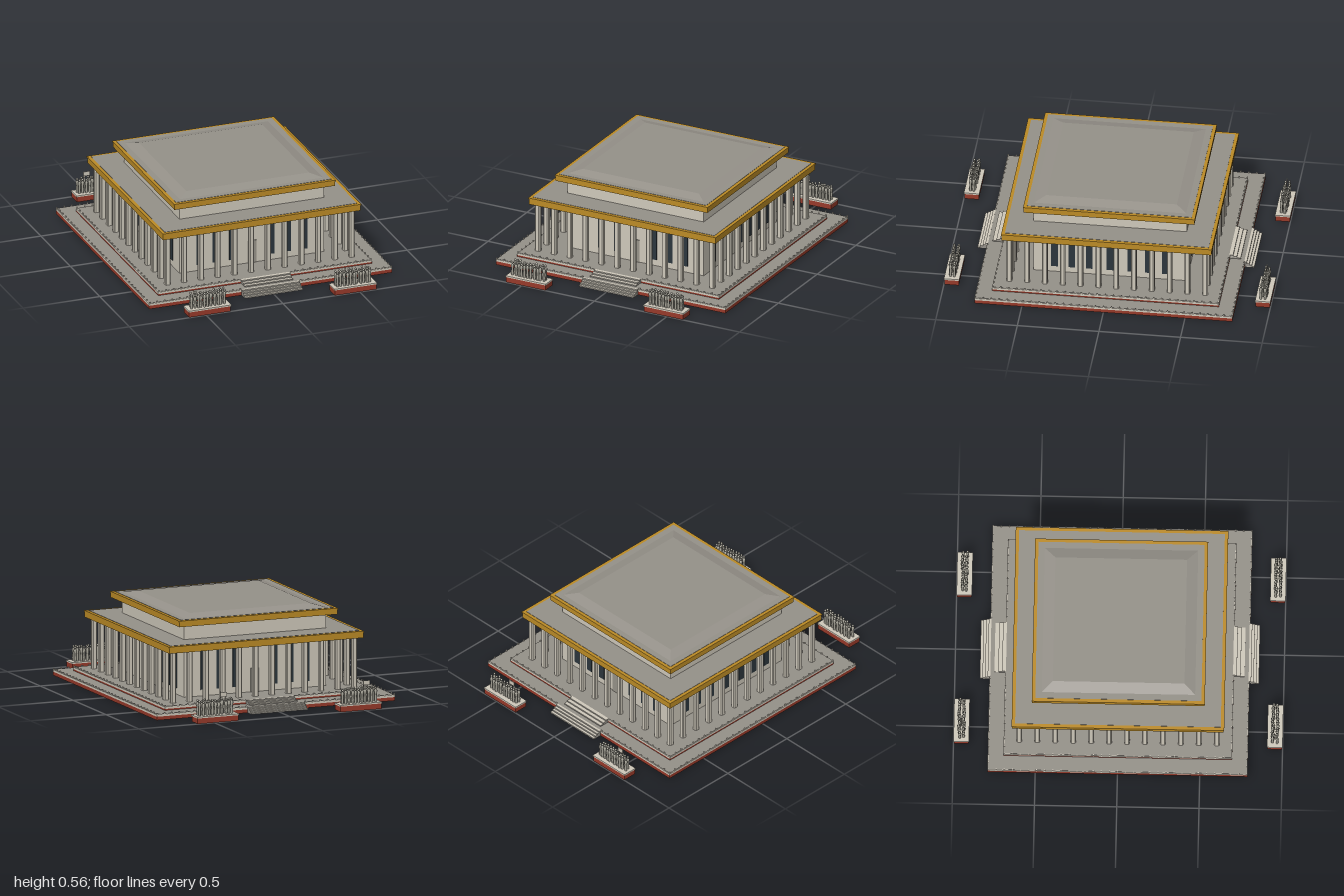
import * as THREE from 'three';
import { mergeGeometries } from 'three/addons/utils/BufferGeometryUtils.js';

const mat = (name, color, extra = {}) => Object.assign(new THREE.MeshStandardMaterial({ color, ...extra }), { name });

export function createModel() {
  const stone = mat('pale stone', 0xd0cabc);
  const paving = mat('grey paving', 0x96928a);
  const gold = mat('gold tile', 0xbd8c26);
  const red = mat('red granite', 0x983a2a);
  const glass = mat('dark glass', 0x2c363d);
  const doorGrey = mat('door grey', 0x98948a);
  const statue = mat('statue stone', 0xa5a296);

  const model = new THREE.Group();
  model.name = 'memorialHall';
  const add = (name, geo, material, parent = model) => {
    const m = new THREE.Mesh(geo, material);
    m.name = name;
    parent.add(m);
    return m;
  };
  // Box given by width, depth, bottom, top and centre
  const block = (w, d, y0, y1, x = 0, z = 0) =>
    new THREE.BoxGeometry(w, y1 - y0, d).translate(x, (y0 + y1) / 2, z);
  const rect = (P, w, d) => {
    const p = new P();
    p.moveTo(-w / 2, -d / 2).lineTo(w / 2, -d / 2).lineTo(w / 2, d / 2).lineTo(-w / 2, d / 2);
    p.closePath();
    return p;
  };
  // Rectangular ring with wall thickness t
  const frame = (w, d, t, y0, y1) => {
    const s = rect(THREE.Shape, w, d);
    s.holes.push(rect(THREE.Path, w - 2 * t, d - 2 * t));
    return new THREE.ExtrudeGeometry(s, { depth: y1 - y0, bevelEnabled: false })
      .rotateX(-Math.PI / 2).translate(0, y0, 0);
  };

  // Two terraces: red plinth, pale edge, grey paving and small railing posts
  const terrace = (name, half, y0, yRed, yTop, gap) => {
    const g = new THREE.Group();
    g.name = name;
    model.add(g);
    add('plinth', frame(half * 2, half * 2, 0.015, y0, yRed), red, g);
    add('core', block(half * 2 - 0.03, half * 2 - 0.03, y0 + 0.001, yTop), paving, g);
    add('edge', frame(half * 2, half * 2, 0.015, yRed, yTop - 0.001), stone, g);
    add('pavingTop', block(half * 2 - 0.008, half * 2 - 0.008, yTop - 0.002, yTop + 0.001), paving, g);
    const posts = [];
    const n = Math.round(half * 2 / 0.05);
    for (let i = 0; i < n; i++) {
      const t = -half + 0.004 + (i * (half * 2 - 0.008)) / n;
      for (let s = 0; s < 4; s++) {
        if (s % 2 === 0 && Math.abs(t) < gap) continue;
        posts.push(block(0.007, 0.007, yTop, yTop + 0.009, t, half - 0.004).rotateY(s * Math.PI / 2));
      }
    }
    add('railingPosts', mergeGeometries(posts), stone, g);
  };
  terrace('lowerTerrace', 0.79, 0, 0.022, 0.036, 0.19);
  terrace('upperTerrace', 0.695, 0.036, 0.046, 0.06, 0.16);

  // Steps at front and back, grey risers with pale treads
  const stairs = (parent, name, w, z0, z1, y0, y1, n) => {
    const risers = [], treads = [];
    for (let i = 0; i < n; i++) {
      const top = y0 + ((y1 - y0) * (i + 1)) / n;
      const outer = z1 - ((z1 - z0) * i) / n;
      risers.push(block(w, outer - z0, y0, top - 0.002, 0, (outer + z0) / 2));
      treads.push(block(w, outer - z0, top - 0.002, top, 0, (outer + z0) / 2));
    }
    add(name + 'Risers', mergeGeometries(risers), paving, parent);
    add(name + 'Treads', mergeGeometries(treads), stone, parent);
  };

  // Main hall walls
  add('hallWalls', block(0.94, 0.94, 0.06, 0.38), stone);

  // Windows, doors and stairs on each face
  for (let s = 0; s < 4; s++) {
    const face = new THREE.Group();
    face.name = ['frontFace', 'leftFace', 'backFace', 'rightFace'][s];
    face.rotation.y = s * Math.PI / 2;
    model.add(face);
    const xs = [-0.34, -0.235, -0.127, 0.127, 0.235, 0.34];
    if (s % 2) xs.push(0);
    for (const x of xs) add('window', block(0.041, 0.006, 0.1, 0.34, x, 0.471), glass, face);
    if (s % 2 === 0) {
      add('door', block(0.058, 0.008, 0.06, 0.207, 0, 0.471), doorGrey, face);
      stairs(face, 'lowerStairs', 0.376, 0.785, 0.848, 0, 0.038, 4);
      stairs(face, 'upperStairs', 0.315, 0.69, 0.76, 0.036, 0.062, 3);
    }
  }

  // Colonnade of chamfered square columns, twelve to a side
  const a = 0.0165, c = 0.0105;
  const section = new THREE.Shape([[a, -c], [a, c], [c, a], [-c, a], [-a, c], [-a, -c], [-c, -a], [c, -a]]
    .map(([x, y]) => new THREE.Vector2(x, y)));
  const shaft = new THREE.ExtrudeGeometry(section, { depth: 0.317, bevelEnabled: false })
    .rotateX(-Math.PI / 2).translate(0, 0.06, 0);
  for (let s = 0; s < 4; s++) {
    for (let i = 0; i < 11; i++) {
      const col = add('column', shaft, stone);
      const p = new THREE.Vector3(-0.6 + (i * 1.2) / 11, 0, 0.6)
        .applyAxisAngle(new THREE.Vector3(0, 1, 0), s * Math.PI / 2);
      col.position.copy(p);
    }
  }

  // Lower eave, upper storey and upper eave
  const eave = (name, half, y0, y1, rim) => {
    add(name, block(half * 2, half * 2, y0, y1 - 0.008), gold);
    add(name + 'Lip', block(half * 2 + 0.006, half * 2 + 0.006, y1 - 0.008, y1), gold);
    add(name + 'Deck', block((half - rim) * 2, (half - rim) * 2, y1 - 0.004, y1 + 0.002), paving);
  };
  eave('lowerEave', 0.643, 0.374, 0.416, 0.018);
  add('upperStorey', block(0.94, 0.94, 0.416, 0.512), stone);
  eave('upperEave', 0.523, 0.508, 0.546, 0.018);

  // Shallow hipped roof
  const roof = new THREE.CylinderGeometry(0.4 * Math.SQRT2, 0.47 * Math.SQRT2, 0.018, 4, 1)
    .rotateY(Math.PI / 4).toNonIndexed();
  roof.computeVertexNormals();
  add('roof', roof.translate(0, 0.556, 0), paving);

  // Four plinths with crowds of standing figures
  let seed = 7;
  const rnd = () => (seed = (seed * 16807) % 2147483647) / 2147483647;
  const body = new THREE.LatheGeometry([[0.0075, 0], [0.0085, 0.02], [0.007, 0.045], [0.0105, 0.068], [0.0035, 0.078], [0, 0.079]]
    .map(([x, y]) => new THREE.Vector2(x, y)), 8);
  const head = new THREE.SphereGeometry(0.0075, 8, 6).translate(0, 0.085, 0);
  const figure = mergeGeometries([body, head]);
  for (const sx of [-1, 1]) for (const sz of [-1, 1]) {
    const g = new THREE.Group();
    g.name = 'sculptureGroup';
    g.position.set(sx * 0.474, 0, sz * 0.953);
    model.add(g);
    add('plinthBase', frame(0.27, 0.088, 0.012, 0, 0.034), red, g);
    add('plinthFill', block(0.246, 0.064, 0.01, 0.034), red, g);
    add('plinthCap', block(0.276, 0.094, 0.034, 0.043), stone, g);
    for (let i = 0; i < 22; i++) {
      const f = add('figure', figure, statue, g);
      f.position.set(-0.108 + (i >> 1) * 0.0214 + (rnd() - 0.5) * 0.008, 0.043, (i % 2 ? 0.013 : -0.013) + (rnd() - 0.5) * 0.008);
      f.scale.set(1, 0.95 + rnd() * 0.16, 1);
      f.rotation.y = rnd() * 6;
    }
    // Banner carried by the rear groups
    if (sz < 0) {
      add('bannerPole', new THREE.CylinderGeometry(0.002, 0.002, 0.137, 6).translate(-0.035, 0.1115, 0), statue, g);
      add('banner', block(0.042, 0.004, 0.146, 0.174, -0.056, 0), stone, g);
    }
  }
  return model;
}
